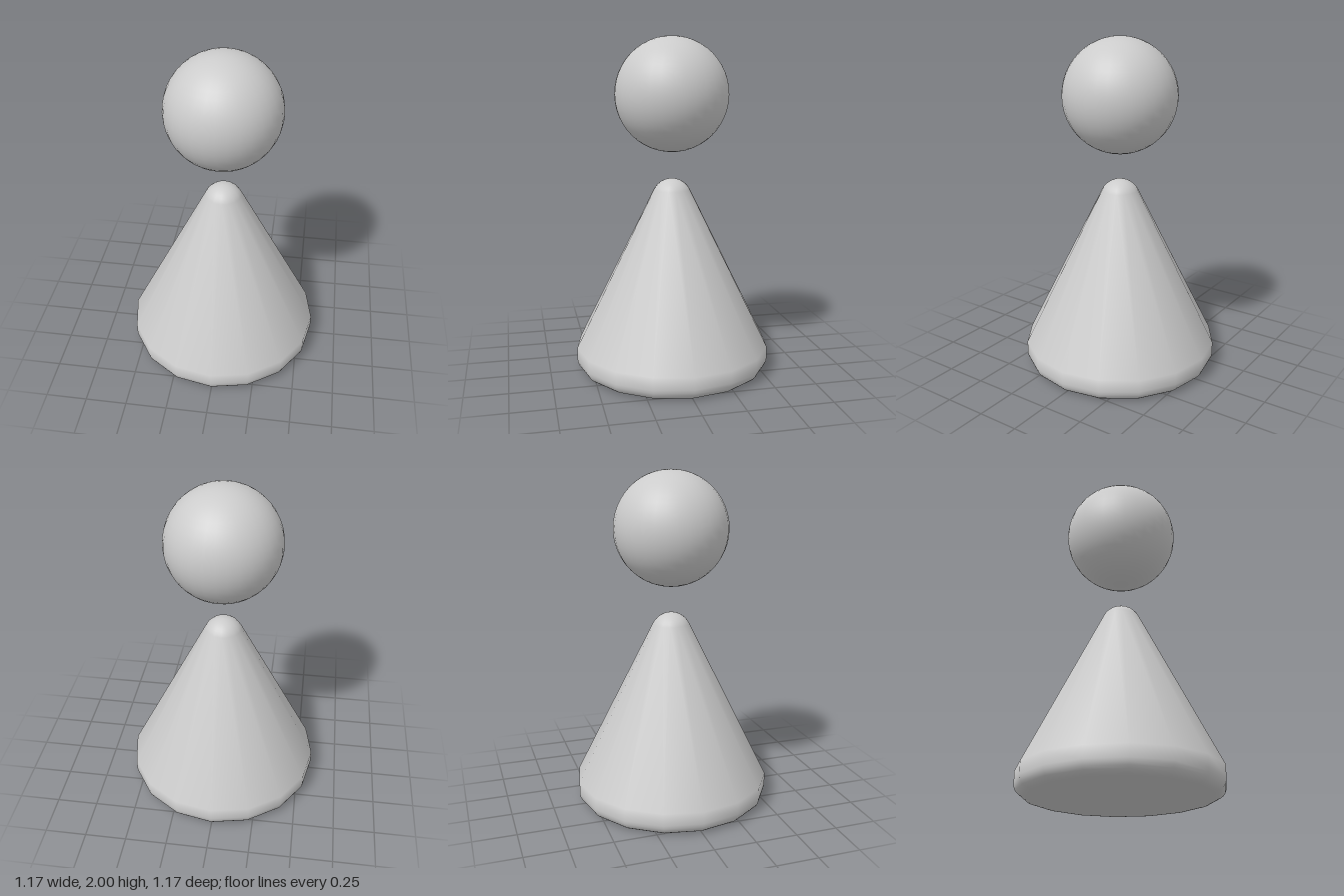
import * as THREE from 'three';

// Points on a circular arc, for the rounded parts of the profile
function arc(cx, cy, rx, ry, from, to, steps) {
  return Array.from({ length: steps + 1 }, (_, i) => {
    const a = from + (to - from) * i / steps;
    return new THREE.Vector2(Math.max(0, cx + rx * Math.cos(a)), cy + ry * Math.sin(a));
  });
}

export function createModel() {
  const group = new THREE.Group();
  const material = new THREE.MeshStandardMaterial({ color: 0xcccccc });

  // Sixteen-sided cone body: flat base, rounded rim, short wall, slope, domed tip
  const tipRadius = 0.123;
  const slopeAngle = Math.atan2(0.477, 0.955); // normal of the sloping side
  const profile = [
    new THREE.Vector2(0, 0),
    new THREE.Vector2(0.51, 0),
    ...arc(0.52, 0.07, 0.067, 0.07, -Math.PI / 2, 0, 6),
    new THREE.Vector2(0.587, 0.142),
    ...arc(0, 1.165 - tipRadius, tipRadius, tipRadius, slopeAngle, Math.PI / 2, 8),
  ];
  const body = new THREE.Mesh(new THREE.LatheGeometry(profile, 16), material);
  body.name = 'body';
  group.add(body);

  // Ball head floating above the tip
  const head = new THREE.Mesh(new THREE.SphereGeometry(0.338, 32, 24), material);
  head.name = 'head';
  head.position.y = 1.662;
  group.add(head);

  return group;
}
